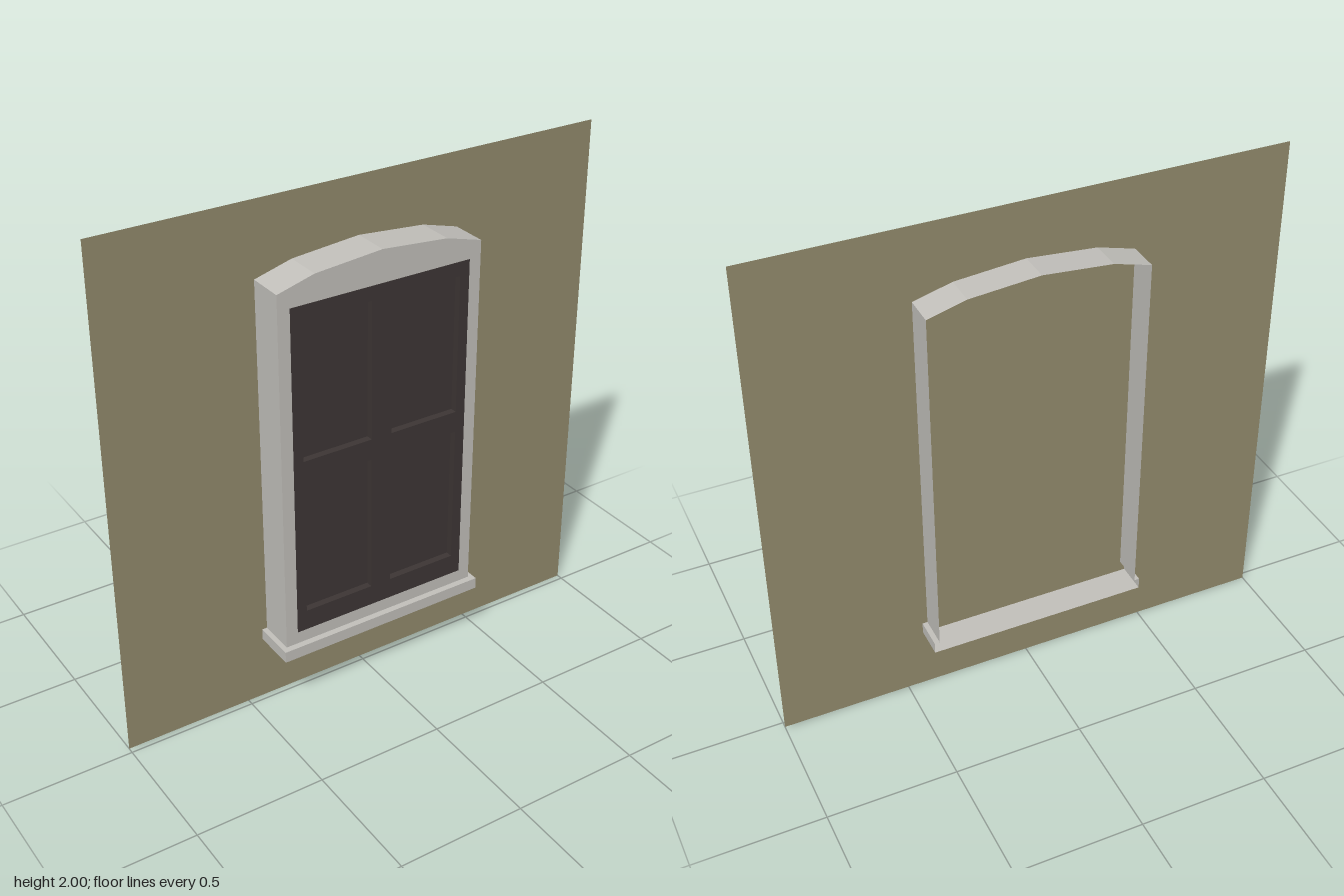
import * as THREE from 'three';

const BACK = -0.145, FACE = 0.12, SILL_FRONT = 0.145, WALL_Z = -0.024;

function material(name, color) {
  const m = new THREE.MeshStandardMaterial({ color, side: THREE.DoubleSide });
  m.name = name;
  return m;
}

function rectPoints(x0, y0, x1, y1) {
  return [[x0, y0], [x1, y0], [x1, y1], [x0, y1]].map(([x, y]) => new THREE.Vector2(x, y));
}

// Open band: a counterclockwise outline swept from z0 to z1, flat shaded
function band(outline, z0, z1) {
  const pos = [];
  for (let i = 0; i < outline.length - 1; i++) {
    const [px, py] = outline[i], [qx, qy] = outline[i + 1];
    pos.push(px, py, z0, qx, qy, z0, qx, qy, z1);
    pos.push(px, py, z0, qx, qy, z1, px, py, z1);
  }
  const g = new THREE.BufferGeometry();
  g.setAttribute('position', new THREE.Float32BufferAttribute(pos, 3));
  g.computeVertexNormals();
  return g;
}

export function createModel() {
  const model = new THREE.Group();
  model.name = 'shutteredWindow';
  const wallMat = material('olive wall', 0x928a6c);
  const stoneMat = material('pale stone', 0xc2c0bb);
  const woodMat = material('dark wood', 0x3d3635);

  function add(name, geometry, mat, x = 0, y = 0, z = 0) {
    const mesh = new THREE.Mesh(geometry, mat);
    mesh.name = name;
    mesh.position.set(x, y, z);
    model.add(mesh);
    return mesh;
  }

  // Wall sheet
  add('wall', new THREE.PlaneGeometry(2, 2), wallMat, 0, 1, WALL_Z);

  // Arched surround: outer band, open at the back, and a front with an opening
  const outline = [
    [0.41, 0.305], [0.41, 1.72], [0.265, 1.76], [0, 1.783],
    [-0.265, 1.76], [-0.41, 1.72], [-0.41, 0.305],
  ];
  add('surroundSides', band(outline, BACK, FACE), stoneMat);
  const front = new THREE.Shape(outline.map(([x, y]) => new THREE.Vector2(x, y)));
  front.holes.push(new THREE.Path(rectPoints(-0.362, 0.355, 0.362, 1.66)));
  add('surroundFront', new THREE.ShapeGeometry(front), stoneMat, 0, 0, FACE);

  // Sill: underside and ends, front face and top ledge
  const sill = [
    [-0.41, 0.305], [-0.43, 0.305], [-0.43, 0.26],
    [0.43, 0.26], [0.43, 0.305], [0.41, 0.305],
  ];
  add('sillSides', band(sill, BACK, SILL_FRONT), stoneMat);
  add('sillFront', new THREE.PlaneGeometry(0.86, 0.045), stoneMat, 0, 0.2825, SILL_FRONT);
  add('sillLedge', band([[0.41, 0.305], [-0.41, 0.305]], FACE, SILL_FRONT), stoneMat);

  // Shutter frame with four panel openings
  const shutter = new THREE.Shape(rectPoints(-0.362, 0.355, 0.362, 1.66));
  for (const side of [-1, 1]) {
    for (const [y0, y1] of [[0.437, 0.985], [1.068, 1.606]]) {
      const xs = [0.042 * side, 0.323 * side].sort((a, b) => a - b);
      shutter.holes.push(new THREE.Path(rectPoints(xs[0], y0, xs[1], y1)));
      // Recessed panel
      add('shutterPanel', new THREE.PlaneGeometry(0.281, y1 - y0), woodMat,
        0.1825 * side, (y0 + y1) / 2, FACE - 0.025);
    }
  }
  add('shutterFrame', new THREE.ExtrudeGeometry(shutter, { depth: 0.027, bevelEnabled: false }),
    woodMat, 0, 0, FACE - 0.025);

  return model;
}
